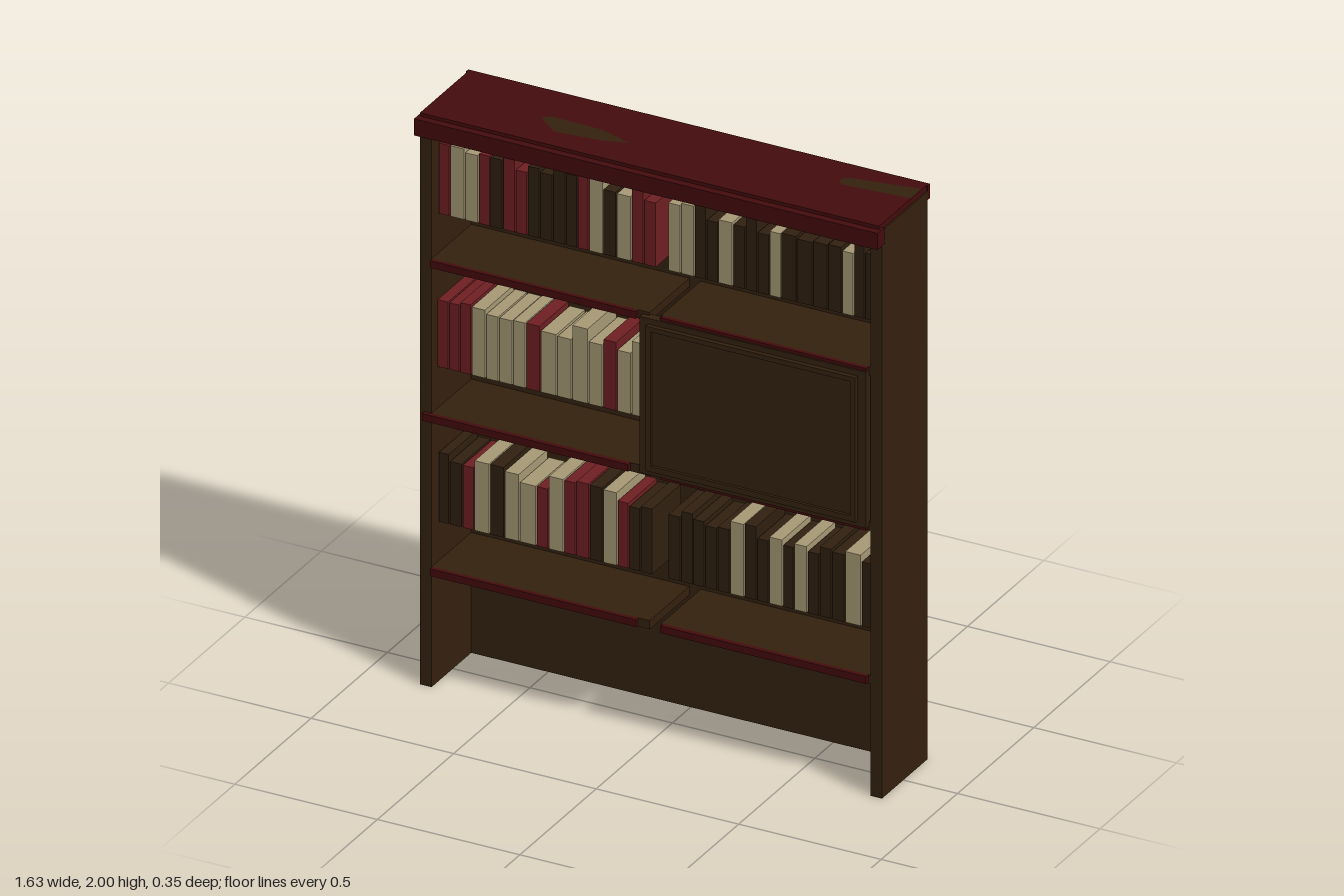
import * as THREE from 'three';

const paint = (name, color) => {
  const m = new THREE.MeshStandardMaterial({ color });
  m.name = name;
  return m;
};

export function createModel() {
  const wood = paint('dark wood', 0x35210f);
  const trim = paint('mahogany trim', 0x450c0d);
  const covers = {
    R: paint('red cover', 0x701f23),
    C: paint('cream cover', 0xa89a76),
    D: paint('brown cover', 0x302010),
  };
  const model = new THREE.Group();
  model.name = 'bookcase';

  // Box given by its limits on each axis
  function box(name, mat, [x0, x1], [y0, y1], [z0, z1], parent = model) {
    const mesh = new THREE.Mesh(new THREE.BoxGeometry(x1 - x0, y1 - y0, z1 - z0), mat);
    mesh.position.set((x0 + x1) / 2, (y0 + y1) / 2, (z0 + z1) / 2);
    mesh.name = name;
    parent.add(mesh);
  }

  // Case: two sides, recessed back, top with crown
  box('leftSide', wood, [0.77, 0.81], [0, 1.98], [-0.16, 0.14]);
  box('rightSide', wood, [-0.81, -0.77], [0, 1.98], [-0.16, 0.14]);
  box('backPanel', wood, [-0.77, 0.77], [0, 1.98], [-0.15, -0.12]);
  box('topBoard', trim, [-0.805, 0.805], [1.98, 2], [-0.165, 0.15]);
  box('topRearTrim', trim, [-0.81, 0.81], [1.95, 2], [-0.175, -0.16]);
  box('crown', trim, [-0.813, 0.813], [1.93, 1.988], [0.13, 0.175]);

  // Worn patches on the top board
  const patches = [
    [[-0.46, 0], [-0.43, -0.018], [-0.25, -0.013], [-0.14, 0.025], [-0.22, 0.05], [-0.38, 0.067]],
    [[0.55, -0.07], [0.57, -0.09], [0.804, -0.13], [0.804, -0.06], [0.57, -0.04]],
  ];
  for (const points of patches) {
    const shape = new THREE.Shape(points.map(([x, z]) => new THREE.Vector2(x, -z)));
    const patch = new THREE.Mesh(new THREE.ShapeGeometry(shape), wood);
    patch.rotation.x = -Math.PI / 2;
    patch.position.y = 2.001;
    patch.name = 'wornPatch';
    model.add(patch);
  }

  // Shelves in two halves, each with a trim lip
  for (const [top, shift] of [[0.42, 0], [0.955, -0.028], [1.495, 0]]) {
    const board = [top - 0.03, top];
    const lip = [top - 0.025, top];
    box('rightShelf', wood, [-0.77, -0.005], board, [-0.12, 0.14]);
    box('leftShelf', wood, [0.035, 0.77], board, [-0.12, 0.14]);
    box('rightShelfLip', trim, [-0.768 + shift, -0.045 + shift], lip, [0.138, 0.155]);
    box('leftShelfLip', trim, [0.04, 0.762], lip, [0.138, 0.155]);
  }

  // Cabinet door with raised moulding around its panel
  const door = new THREE.Group();
  door.name = 'cabinetDoor';
  model.add(door);
  box('doorSlab', wood, [-0.03, 0.765], [0.94, 1.485], [0.13, 0.16], door);
  const rect = (Type, x0, x1, y0, y1) => new Type([[x0, y0], [x1, y0], [x1, y1], [x0, y1]]
    .map(([x, y]) => new THREE.Vector2(x, y)));
  const ring = rect(THREE.Shape, 0, 0.735, 0.96, 1.465);
  ring.holes.push(rect(THREE.Path, 0.017, 0.717, 0.98, 1.448));
  const moulding = new THREE.Mesh(
    new THREE.ExtrudeGeometry(ring, { depth: 0.016, bevelEnabled: false }), wood);
  moulding.position.z = 0.159;
  moulding.name = 'doorMoulding';
  door.add(moulding);
  box('doorPanel', wood, [0.017, 0.717], [0.98, 1.448], [0.155, 0.166], door);

  // Seeded variation for book sizes
  let seed = 7;
  const vary = () => {
    seed = (seed * 16807) % 2147483647;
    return seed / 2147483647;
  };

  // Runs of books: from x, to x, cover order
  const rows = [
    { name: 'upperBooks', y: 1.635, runs: [
      [-0.765, -0.453, 'RCCRDRR'], [-0.453, -0.278, 'DDDD'], [-0.278, 0, 'RCDCRR'],
      [0.04, 0.268, 'CCDDC'], [0.268, 0.395, 'DDD'], [0.395, 0.437, 'C'],
      [0.437, 0.65, 'DDDD'], [0.65, 0.77, 'CDD']] },
    { name: 'middleBooks', y: 1.1, runs: [
      [-0.77, -0.65, 'RRR'], [-0.65, -0.459, 'CCCC'], [-0.459, -0.188, 'RCCCC'],
      [-0.188, -0.035, 'RCC'], [0.04, 0.715, 'DRCDDCRDDCDRC'], [0.715, 0.77, 'C']] },
    { name: 'lowerBooks', y: 0.56, runs: [
      [-0.765, -0.64, 'DDR'], [-0.64, -0.421, 'CDCC'], [-0.421, -0.188, 'RCRRD'],
      [-0.188, -0.013, 'CRDD'], [0.04, 0.257, 'DDDDD'], [0.257, 0.394, 'CDD'],
      [0.394, 0.66, 'CDCDDD'], [0.66, 0.77, 'CD']] },
  ];
  for (const { name, y, runs } of rows) {
    const row = new THREE.Group();
    row.name = name;
    model.add(row);
    for (const [start, end, order] of runs) {
      // Cream books are a little thicker; each run fills its span exactly
      const shares = [...order].map((c) => (c === 'C' ? 1.1 : 0.95) + 0.2 * vary());
      const scale = (end - start) / shares.reduce((a, b) => a + b);
      let x = start;
      shares.forEach((share, i) => {
        const next = x + share * scale;
        box('book', covers[order[i]], [x, next - 0.005],
          [y, y + 0.205 + 0.055 * vary()], [-0.09, 0.1], row);
        x = next;
      });
    }
  }
  return model;
}
